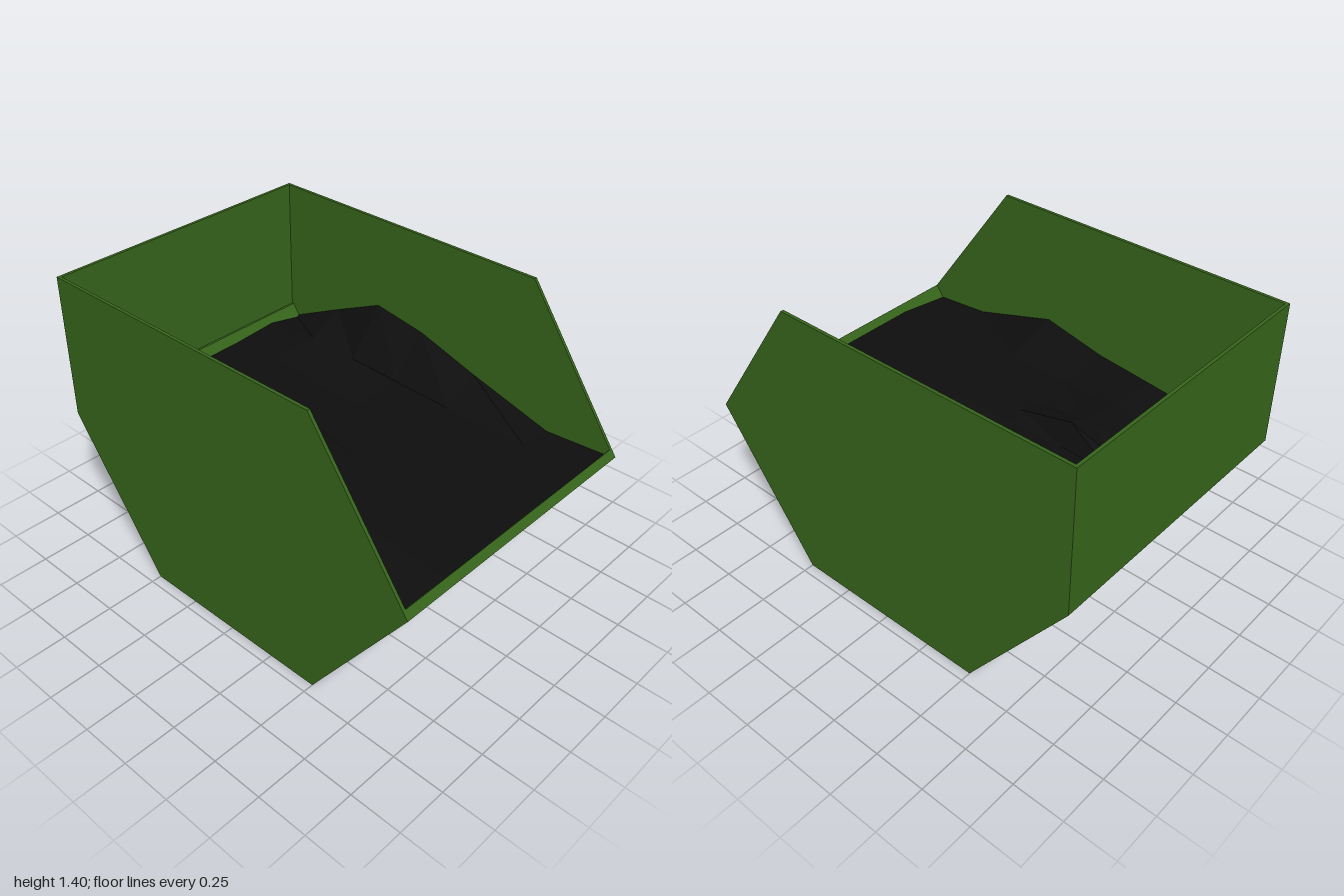
import * as THREE from 'three';

const green = new THREE.MeshStandardMaterial({ color: 0x36641b, flatShading: true });
const black = new THREE.MeshStandardMaterial({ color: 0x0e0e0e, flatShading: true, side: THREE.DoubleSide });

const HALF = 0.7, WALL = 0.015;

// Extrudes a [z, y] profile across the width, from x = left down to x = left - width.
function panel(name, profile, left, width) {
  const shape = new THREE.Shape(profile.map(([z, y]) => new THREE.Vector2(z, y)));
  const geo = new THREE.ExtrudeGeometry(shape, { depth: width, bevelEnabled: false });
  geo.rotateY(-Math.PI / 2).translate(left, 0, 0);
  const mesh = new THREE.Mesh(geo, green);
  mesh.name = name;
  return mesh;
}

// Faceted heap: a height table over uneven rows (front to back) and columns.
function heap() {
  const xs = [-0.685, -0.42, -0.2, -0.1, -0.04, 0.24, 0.5, 0.685];
  const zs = [0.95, 0.65, 0.22, -0.1, -0.38, -0.65, -0.96];
  const heights = [
    [0.675, 0.70, 0.70, 0.70, 0.70, 0.70, 0.70, 0.70],
    [0.70, 0.72, 0.71, 0.71, 0.71, 0.71, 0.70, 0.68],
    [0.83, 0.76, 0.73, 0.72, 0.72, 0.71, 0.70, 0.80],
    [0.76, 0.74, 0.75, 0.76, 0.72, 0.69, 0.71, 0.90],
    [0.73, 0.75, 0.795, 0.83, 0.73, 0.70, 0.72, 0.945],
    [0.70, 0.72, 0.74, 0.75, 0.72, 0.73, 0.735, 0.82],
    [0.67, 0.68, 0.68, 0.69, 0.69, 0.69, 0.70, 0.67],
  ];
  const geo = new THREE.PlaneGeometry(1, 1, xs.length - 1, zs.length - 1);
  const pos = geo.attributes.position;
  for (let i = 0; i < pos.count; i++) {
    const c = i % xs.length;
    const r = zs.length - 1 - Math.floor(i / xs.length); // plane rows run back to front
    pos.setXYZ(i, xs[c], heights[r][c], zs[r]);
  }
  geo.computeVertexNormals();
  const mesh = new THREE.Mesh(geo, black);
  mesh.name = 'coalHeap';
  return mesh;
}

export function createModel() {
  const model = new THREE.Group();
  model.name = 'coalBin';

  // Six-sided end walls
  const side = [[0.5, 0], [1, 0.7], [0.5, 1.4], [-1, 1.4], [-1, 0.7], [-0.5, 0]];
  model.add(panel('leftWall', side, HALF, WALL));
  model.add(panel('rightWall', side, -HALF + WALL, WALL));

  // Sloped front, floor, sloped back and upright back as one folded sheet
  const trough = [
    [0.5, 0], [1, 0.7], [0.975, 0.735], [0.475, 0.035], [-0.475, 0.035],
    [-0.975, 0.735], [-0.985, 0.735], [-0.985, 1.4], [-1, 1.4], [-1, 0.7], [-0.5, 0],
  ];
  model.add(panel('trough', trough, HALF - WALL, 2 * (HALF - WALL)));

  model.add(heap());
  return model;
}
